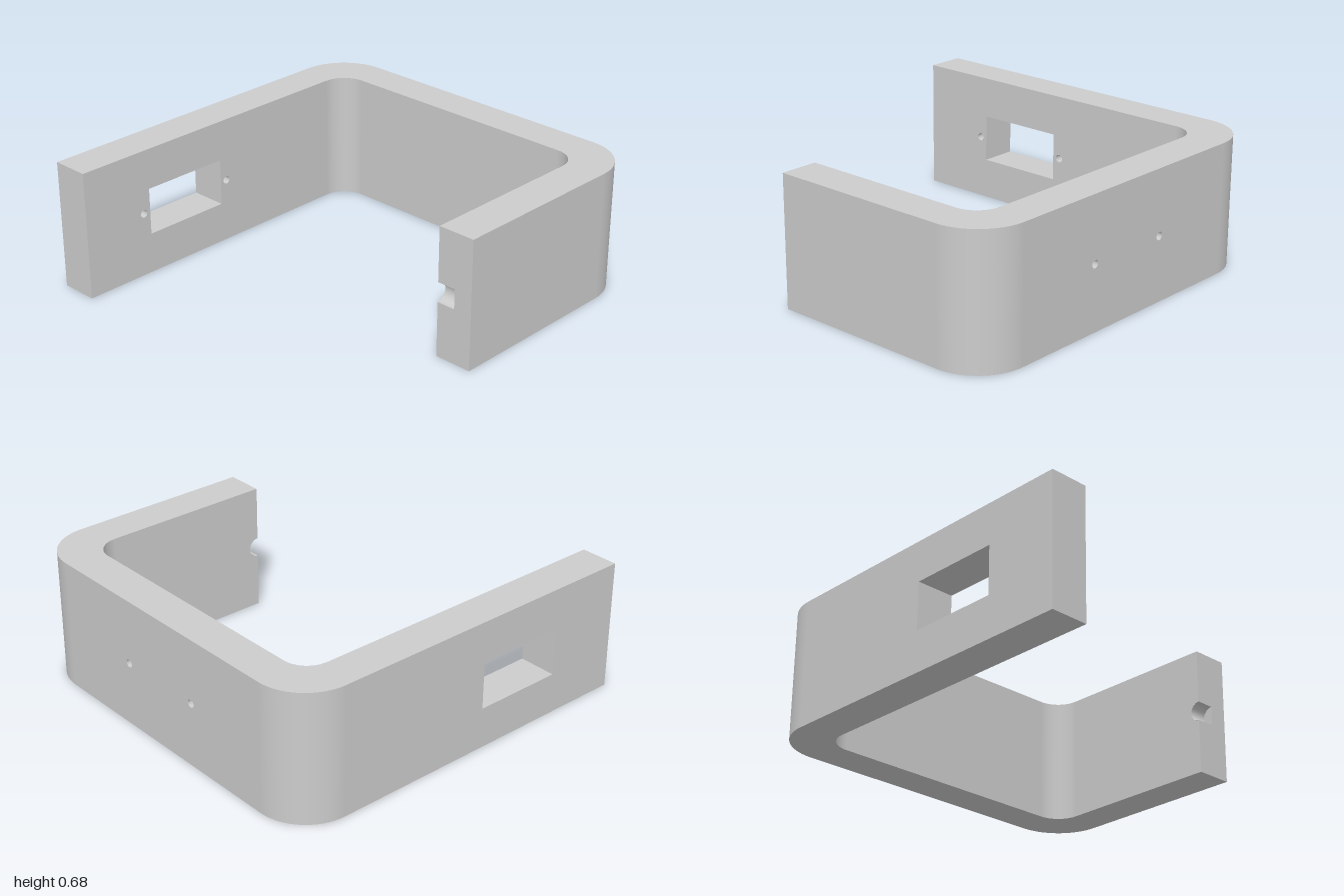
import * as THREE from 'three';

const H = 0.68, T = 0.2;              // height and wall thickness
const RO = 0.267, RI = 0.133;         // outer and inner corner radii
const CO = 1 - RO, CI = 1 - T - RI;   // corner centres
const SHORT = 0.235;                  // z where the short arm ends
const MID = 0.34, SEG = 16;
const WIN = { z0: 0.12, z1: 0.6, y0: MID - 0.125, y1: MID + 0.125 };
const HOLE_R = 0.021, HOLE_DEPTH = 0.1;
const NOTCH_R = 0.052, NOTCH_DEPTH = 0.1;

const solid = new THREE.MeshStandardMaterial({ color: 0xcccccc });
const lining = new THREE.MeshStandardMaterial({ color: 0xcccccc, side: THREE.DoubleSide });

function rect(u0, u1, y0 = 0, y1 = H) {
  return new THREE.Shape([[u0, y0], [u1, y0], [u1, y1], [u0, y1]].map(p => new THREE.Vector2(...p)));
}

function circle(u, r = HOLE_R) {
  return new THREE.Path().absarc(u, MID, r, 0, Math.PI * 2, true);
}

export function createModel() {
  const group = new THREE.Group();

  function add(name, geometry, material, x = 0, y = 0, z = 0, rx = 0, ry = 0, rz = 0) {
    const mesh = new THREE.Mesh(geometry, material);
    mesh.name = name;
    mesh.position.set(x, y, z);
    mesh.rotation.set(rx, ry, rz);
    group.add(mesh);
    return mesh;
  }

  // flat wall face, turned about y by quarter turns
  function wall(name, shape, x, z, quarter, holes = []) {
    shape.holes.push(...holes);
    add(name, new THREE.ShapeGeometry(shape, SEG), solid, x, 0, z, 0, quarter * Math.PI / 2);
  }

  // top and bottom faces
  const plan = new THREE.Shape();
  plan.moveTo(-1, -1);
  plan.lineTo(-1, CO);
  plan.absarc(-CO, CO, RO, Math.PI, Math.PI / 2, true);
  plan.absarc(CO, CO, RO, Math.PI / 2, 0, true);
  plan.lineTo(1, -SHORT);
  plan.lineTo(1 - T, -SHORT);
  plan.lineTo(1 - T, CI);
  plan.absarc(CI, CI, RI, 0, Math.PI / 2, false);
  plan.absarc(-CI, CI, RI, Math.PI / 2, Math.PI, false);
  plan.lineTo(T - 1, -1);
  const flipped = new THREE.Shape(plan.getPoints(SEG).map(p => new THREE.Vector2(p.x, -p.y)));
  add('topFace', new THREE.ShapeGeometry(plan, SEG), solid, 0, H, 0, -Math.PI / 2);
  add('bottomFace', new THREE.ShapeGeometry(flipped, SEG), solid, 0, 0, 0, Math.PI / 2);

  // rounded corners
  for (const side of [-1, 1]) {
    const start = side < 0 ? Math.PI : Math.PI / 2;
    const bend = r => new THREE.CylinderGeometry(r, r, H, SEG, 1, true, start, Math.PI / 2);
    add('outerCorner', bend(RO), solid, side * CO, H / 2, -CO);
    add('innerCorner', bend(RI), lining, side * CI, H / 2, -CI);
  }

  // long arm with window and two screw holes
  const armHoles = [WIN.z0 - 0.04, WIN.z1 + 0.04];
  wall('longArmInner', rect(-1, CI), T - 1, 0, 1,
    [rect(-WIN.z1, -WIN.z0, WIN.y0, WIN.y1), ...armHoles.map(z => circle(-z))]);
  wall('longArmOuter', rect(-CO, 1), -1, 0, -1, [rect(WIN.z0, WIN.z1, WIN.y0, WIN.y1)]);
  wall('longArmEnd', rect(-1, T - 1), 0, 1, 0);

  // window lining
  const wx = T / 2 - 1, wz = (WIN.z0 + WIN.z1) / 2;
  const flat = new THREE.PlaneGeometry(T, WIN.z1 - WIN.z0);
  const upright = new THREE.PlaneGeometry(T, WIN.y1 - WIN.y0);
  add('windowSill', flat, solid, wx, WIN.y0, wz, -Math.PI / 2);
  add('windowHead', flat, solid, wx, WIN.y1, wz, Math.PI / 2);
  add('windowJamb', upright, solid, wx, MID, WIN.z0);
  add('windowJamb', upright, solid, wx, MID, WIN.z1, 0, Math.PI);

  // back wall with two screw holes
  const backHoles = [-0.24, 0.24];
  wall('backOuter', rect(-CO, CO), 0, -1, 2, backHoles.map(x => circle(x)));
  wall('backInner', rect(-CI, CI), 0, T - 1, 0);

  // blind screw holes
  const tube = new THREE.CylinderGeometry(HOLE_R, HOLE_R, HOLE_DEPTH, SEG, 1, true);
  const disc = new THREE.CircleGeometry(HOLE_R, SEG);
  for (const z of armHoles) {
    add('armScrewHole', tube, lining, T - 1 - HOLE_DEPTH / 2, MID, z, 0, 0, Math.PI / 2);
    add('armScrewHoleFloor', disc, solid, T - 1 - HOLE_DEPTH, MID, z, 0, Math.PI / 2);
  }
  for (const x of backHoles) {
    add('backScrewHole', tube, lining, x, MID, HOLE_DEPTH / 2 - 1, Math.PI / 2);
    add('backScrewHoleFloor', disc, solid, x, MID, HOLE_DEPTH - 1, 0, Math.PI);
  }

  // short arm with a half-round notch in its end
  const inner = new THREE.Shape();
  inner.moveTo(-CI, 0);
  inner.lineTo(SHORT, 0);
  inner.absarc(SHORT, MID, NOTCH_R, -Math.PI / 2, Math.PI / 2, true);
  inner.lineTo(SHORT, H);
  inner.lineTo(-CI, H);
  wall('shortArmInner', inner, 1 - T, 0, -1);
  wall('shortArmOuter', rect(-SHORT, CO), 1, 0, 1);

  const nx = 1 - T + NOTCH_DEPTH, lo = MID - NOTCH_R, hi = MID + NOTCH_R;
  const end = new THREE.Shape([[1 - T, 0], [1, 0], [1, H], [1 - T, H], [1 - T, hi], [nx, hi], [nx, lo], [1 - T, lo]]
    .map(p => new THREE.Vector2(...p)));
  wall('shortArmEnd', end, 0, SHORT, 0);

  // notch lining: half tube along x, open towards the front
  const half = new THREE.CylinderGeometry(NOTCH_R, NOTCH_R, NOTCH_DEPTH, SEG, 1, true, Math.PI / 2, Math.PI);
  add('notchLining', half, lining, 1 - T + NOTCH_DEPTH / 2, MID, SHORT, 0, 0, Math.PI / 2);
  add('notchFloor', new THREE.CircleGeometry(NOTCH_R, SEG, Math.PI / 2, Math.PI), solid, nx, MID, SHORT, 0, -Math.PI / 2);

  return group;
}
